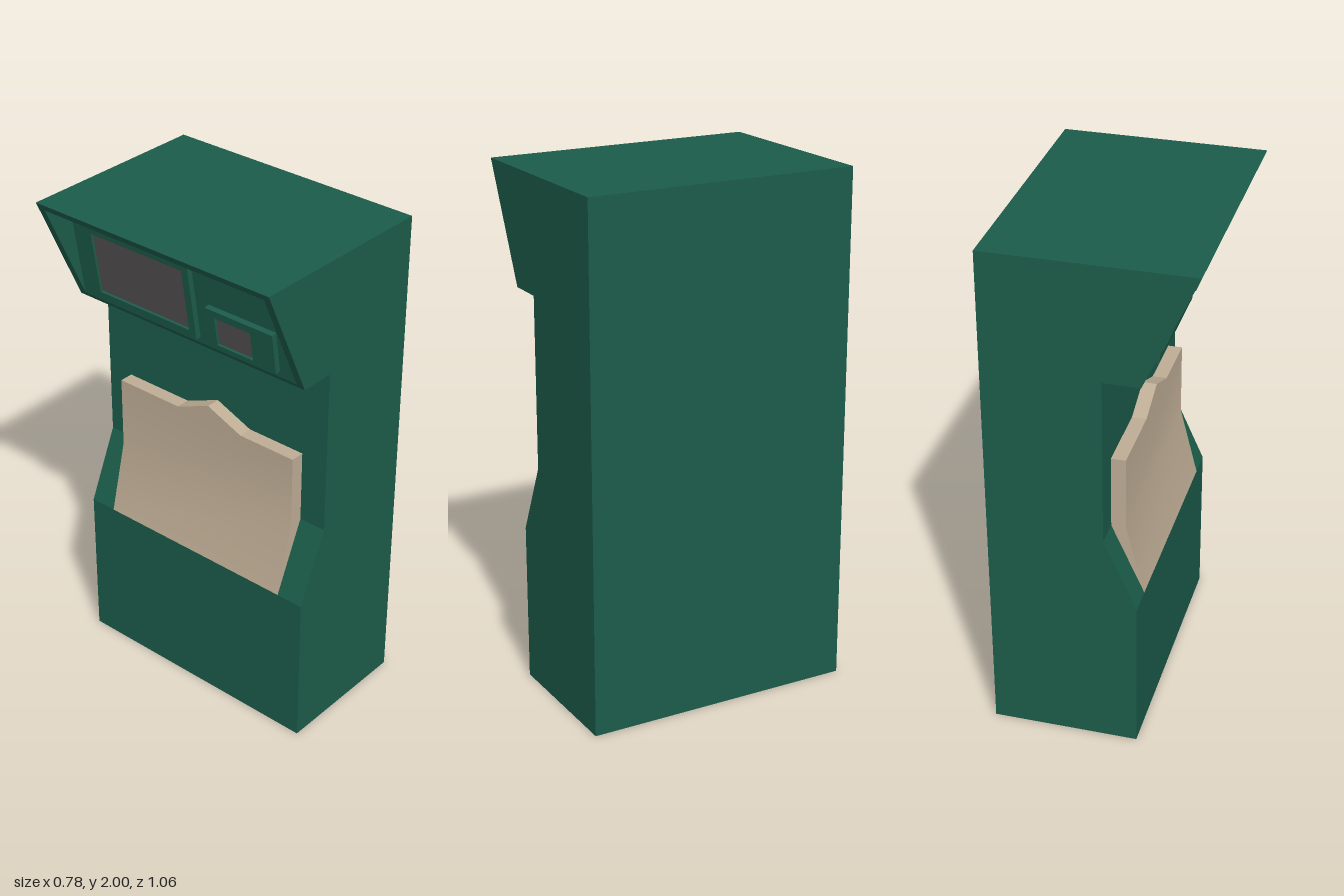
import * as THREE from 'three';
import { toCreasedNormals } from 'three/addons/utils/BufferGeometryUtils.js';

const mat = (color) => new THREE.MeshStandardMaterial({ color });
const green = mat(0x1c5c4a), tan = mat(0xbfad95), grey = mat(0x555052);

const polygon = (points) => new THREE.Shape(points.map(([x, y]) => new THREE.Vector2(x, y)));
const rect = (x0, y0, x1, y1) => [[x0, y0], [x1, y0], [x1, y1], [x0, y1]];

function part(name, geometry, material) {
  const mesh = new THREE.Mesh(geometry, material);
  mesh.name = name;
  return mesh;
}

// Extrude an x-y side profile along z, from z0 to z1
function slab(points, z0, z1) {
  const g = new THREE.ExtrudeGeometry(polygon(points), { depth: z1 - z0, bevelEnabled: false });
  return g.translate(0, 0, z0);
}

// Raised frame around a display, lying in a local x-y plane
function display(name, outer, inner) {
  const group = new THREE.Group();
  group.name = name;
  const shape = polygon(rect(...outer));
  shape.holes.push(polygon(rect(...inner)));
  const frame = new THREE.ExtrudeGeometry(shape, { depth: 0.022, bevelEnabled: false });
  group.add(part('bezel', frame, green));
  group.add(part('screen', slab(rect(...inner), 0, 0.012), grey));
  return group;
}

export function createModel() {
  const model = new THREE.Group();
  model.name = 'cabinet';

  // Shared lower outline, from the back top round to the underside of the head
  const outline = [[0.388, 2], [0.388, 0], [-0.175, 0], [-0.175, 0.62], [-0.05, 0.9], [-0.05, 1.56], [-0.188, 1.56]];
  const panelFoot = [-0.195, 1.575], panelTop = [-0.258, 1.975];

  // Body core with the recessed display panel
  model.add(part('body', slab([...outline, panelFoot, panelTop, [-0.377, 1.975], [-0.388, 2]], -0.5, 0.5), green));

  // Side cheeks that close the recess
  for (const [name, z0] of [['leftCheek', -0.53], ['rightCheek', 0.5]]) {
    model.add(part(name, slab([...outline, [-0.388, 2]], z0, z0 + 0.03), green));
  }

  // Two framed displays on the tilted panel
  const panel = new THREE.Group();
  panel.name = 'displayPanel';
  const across = new THREE.Vector3(0, 0, 1);
  const up = new THREE.Vector3(panelTop[0] - panelFoot[0], panelTop[1] - panelFoot[1], 0).normalize();
  const out = new THREE.Vector3().crossVectors(across, up);
  panel.applyMatrix4(new THREE.Matrix4().makeBasis(across, up, out).setPosition(...panelFoot, 0));
  panel.add(display('largeDisplay', [-0.42, 0.027, 0.07, 0.34], [-0.39, 0.058, 0.04, 0.31]));
  panel.add(display('smallDisplay', [0.13, 0.027, 0.43, 0.19], [0.17, 0.045, 0.33, 0.16]));
  model.add(panel);

  // Front board, tapering into the slope below
  const board = slab([[-0.05, 1.187], [-0.05, 0.9], [-0.175, 0.62], [-0.105, 0.9], [-0.105, 1.187]], -0.42, 0.42);
  model.add(part('frontBoard', toCreasedNormals(board, 0.3), tan));

  // Pointed crest on top of the board
  const crest = slab([[-0.165, 1.187], [0.14, 1.187], [-0.015, 1.25]], 0, 0.055);
  crest.rotateY(-Math.PI / 2).translate(-0.05, 0, 0);
  crest.scale(1, 1, 1);
  const crestMesh = part('boardCrest', crest, tan);
  crestMesh.position.z = 0.035;
  model.add(crestMesh);

  return model;
}
